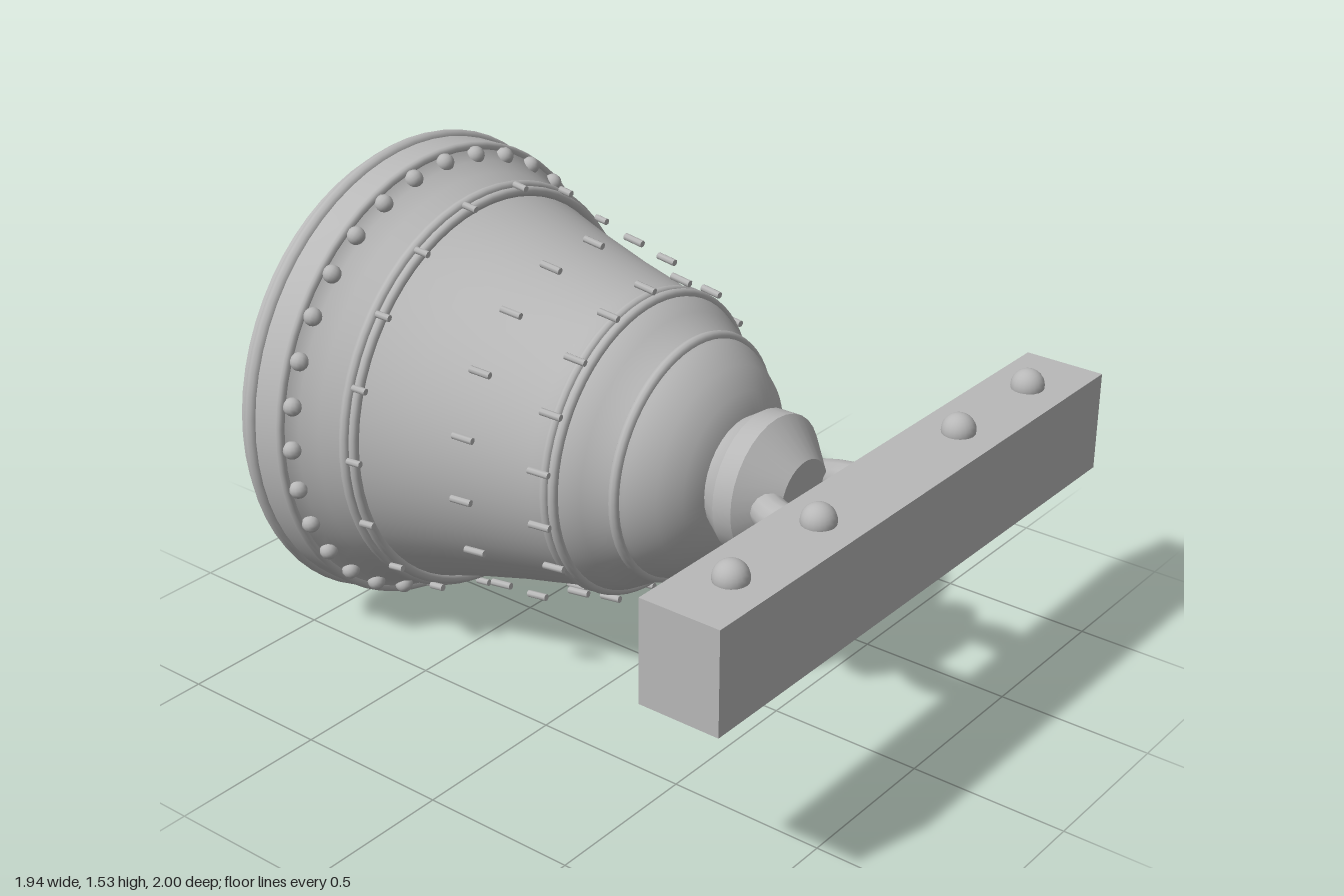
import * as THREE from 'three';
import { toCreasedNormals } from 'three/addons/utils/BufferGeometryUtils.js';

const AXIS_Y = 0.767; // height of the bell's horizontal axis
const metal = new THREE.MeshStandardMaterial({ color: 0xb8b8b8 });
metal.name = 'grey metal';

function add(parent, name, geometry, x = 0, y = 0, z = 0) {
  const mesh = new THREE.Mesh(geometry, metal);
  mesh.name = name;
  mesh.position.set(x, y, z);
  parent.add(mesh);
  return mesh;
}

// Profile of [radius, z] pairs turned about the z axis
function turned(profile, segments = 64) {
  const points = profile.map(([r, z]) => new THREE.Vector2(r, z));
  const geometry = new THREE.LatheGeometry(points, segments).rotateX(Math.PI / 2);
  return toCreasedNormals(geometry, 0.45);
}

// Copies placed round the bell's axis
function ringOf(parent, name, count, offset, radius, z, geometry, tilt = 0) {
  const ring = new THREE.Group();
  ring.name = name + 'Ring';
  parent.add(ring);
  for (let i = 0; i < count; i++) {
    const spoke = new THREE.Group();
    spoke.rotation.z = offset + (i / count) * Math.PI * 2;
    ring.add(spoke);
    add(spoke, name, geometry, radius, 0, z).rotation.y = tilt;
  }
}

export function createModel() {
  const model = new THREE.Group();
  model.name = 'bell';
  const bell = new THREE.Group();
  bell.name = 'bellBody';
  bell.position.y = AXIS_Y;
  model.add(bell);

  // Hollow shell: inner wall, lip, then outer wall up to the shoulder
  add(bell, 'shell', turned([
    [0, 0.27], [0.17, 0.25], [0.3, 0.14], [0.38, 0], [0.44, -0.25], [0.53, -0.6],
    [0.61, -0.88], [0.62, -0.93], [0.655, -0.95], [0.665, -0.985], [0.69, -1],
    [0.735, -1], [0.745, -0.975], [0.75, -0.92], [0.75, -0.835], [0.725, -0.82],
    [0.7, -0.79], [0.675, -0.73], [0.645, -0.66], [0.62, -0.6], [0.575, -0.45],
    [0.53, -0.28], [0.51, -0.19], [0.48, -0.06], [0.465, 0.03], [0.43, 0.09],
    [0.385, 0.15], [0.37, 0.2], [0.315, 0.277], [0.25, 0.325], [0.19, 0.352], [0, 0.36],
  ]));

  // Raised bands
  [
    [0.742, -0.948, 0.024], [0.735, -0.835, 0.016], [0.692, -0.985, 0.014],
    [0.65, -0.645, 0.018], [0.638, -0.62, 0.016],
    [0.47, -0.012, 0.016], [0.468, 0.018, 0.016], [0.377, 0.172, 0.017],
  ].forEach(([r, z, tube]) => add(bell, 'band', new THREE.TorusGeometry(r, tube, 10, 64), 0, 0, z));

  // Crown knob
  add(bell, 'crown', turned([
    [0, 0.33], [0.18, 0.34], [0.185, 0.355], [0.222, 0.41], [0.222, 0.475], [0.115, 0.578], [0, 0.578],
  ], 32));

  // Rivets near the lip
  ringOf(bell, 'lipRivet', 32, 0, 0.715, -0.805, new THREE.SphereGeometry(0.029, 12, 8));

  // Three rings of small pins following the flare
  const pin = (length) => new THREE.CylinderGeometry(0.011, 0.011, length, 8).rotateX(Math.PI / 2);
  const step = Math.PI / 180;
  ringOf(bell, 'upperPin', 18, 10 * step, 0.502, -0.012, pin(0.07), -0.12);
  ringOf(bell, 'middlePin', 18, 5 * step, 0.573, -0.25, pin(0.07), -0.12);
  ringOf(bell, 'lowerPin', 18, 0, 0.66, -0.598, pin(0.048), -0.12);

  // Clapper
  add(bell, 'clapperRod', new THREE.CylinderGeometry(0.045, 0.045, 1.1, 20).rotateX(Math.PI / 2), 0, 0, -0.25);
  add(bell, 'clapperBall', new THREE.SphereGeometry(0.175, 32, 20), 0, 0, -0.8);

  // Hanging loop
  add(bell, 'hangingLoop', new THREE.TorusGeometry(0.171, 0.057, 14, 32).rotateX(Math.PI / 2), 0, 0, 0.652);

  // Beam with bolts above and below
  add(model, 'beam', new THREE.BoxGeometry(1.942, 0.32, 0.26), 0, AXIS_Y + 0.003, 0.87);
  const bolt = new THREE.SphereGeometry(0.052, 20, 14);
  for (const x of [-0.752, -0.357, 0.353, 0.745]) {
    for (const side of [-1, 1]) add(model, 'bolt', bolt, x, AXIS_Y + 0.003 + side * 0.168, 0.87);
  }
  return model;
}
